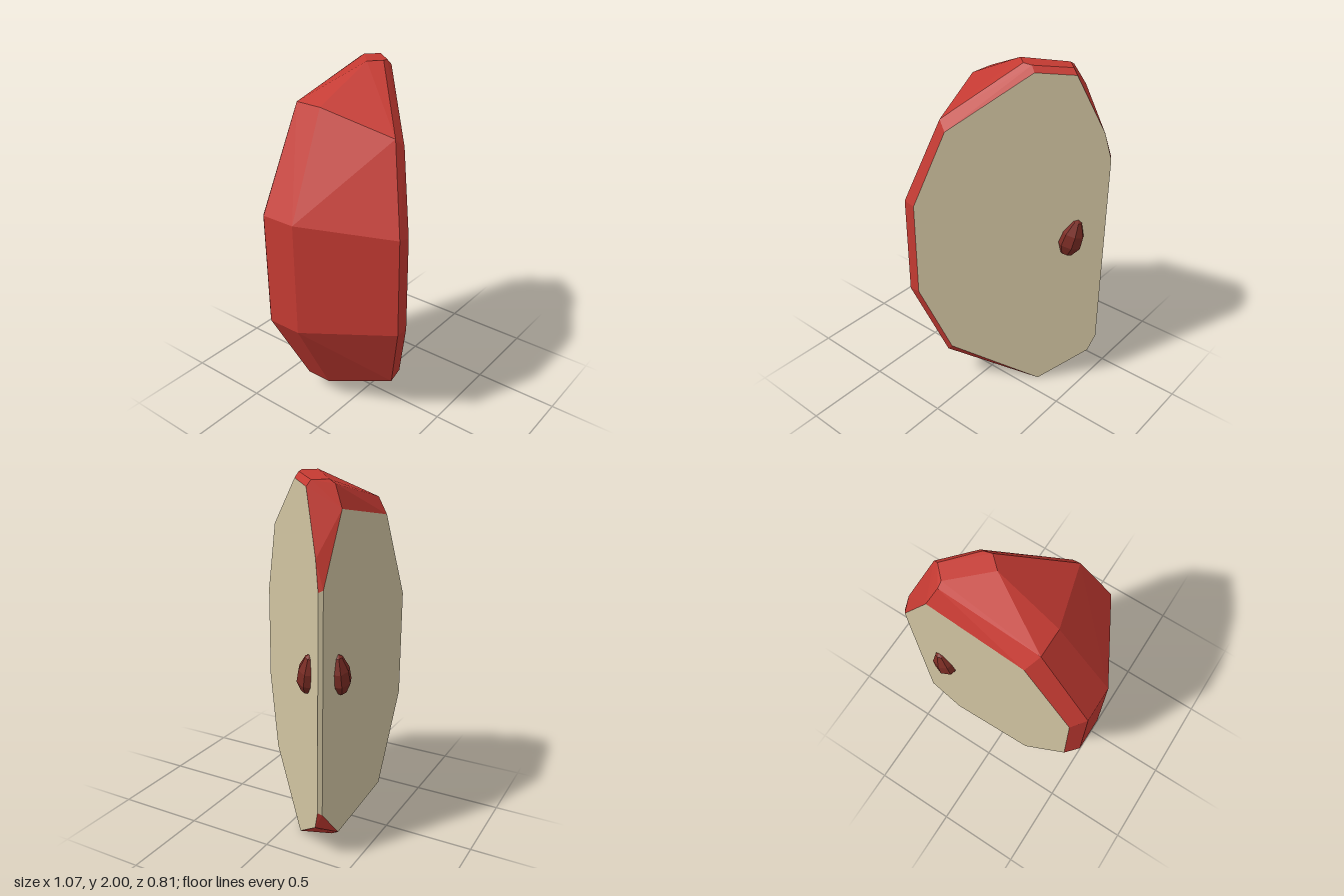
import * as THREE from 'three';
import { ConvexGeometry } from 'three/addons/geometries/ConvexGeometry.js';

const CUT = 0.195;   // slanted cut lies on x + z = CUT
const BACK = -0.355; // rear cut lies on z = BACK

// Keep the hull triangles whose faces pass a test.
function pickFaces(hull, test) {
  const p = hull.attributes.position;
  const out = [];
  const tri = new THREE.Triangle();
  const n = new THREE.Vector3();
  const c = new THREE.Vector3();
  for (let i = 0; i < p.count; i += 3) {
    tri.a.fromBufferAttribute(p, i);
    tri.b.fromBufferAttribute(p, i + 1);
    tri.c.fromBufferAttribute(p, i + 2);
    tri.getNormal(n);
    tri.getMidpoint(c);
    if (test(n, c)) for (const v of [tri.a, tri.b, tri.c]) out.push(v.x, v.y, v.z);
  }
  const g = new THREE.BufferGeometry();
  g.setAttribute('position', new THREE.Float32BufferAttribute(out, 3));
  g.computeVertexNormals();
  return g;
}

export function createModel() {
  const model = new THREE.Group();
  model.name = 'fruitWedge';
  const skinMat = new THREE.MeshStandardMaterial({ color: 0xc43a32, flatShading: true });
  skinMat.name = 'red skin';
  const fleshMat = new THREE.MeshStandardMaterial({ color: 0xd2c5a2, flatShading: true });
  fleshMat.name = 'cream flesh';
  const seedMat = new THREE.MeshStandardMaterial({ color: 0x7a2c24, flatShading: true });
  seedMat.name = 'brown seed';

  const add = (name, geometry, material) => {
    const m = new THREE.Mesh(geometry, material);
    m.name = name;
    model.add(m);
    return m;
  };

  // Outline of the slanted cut (x, y)
  const frontCut = [
    [-0.205, 1.25], [-0.08, 1.67], [0.235, 1.965], [0.385, 1.945], [0.5, 1.63], [0.53, 1.48],
    [0.53, 0.31], [0.5, 0.2], [0.29, 0], [-0.08, 0.29], [-0.205, 0.7],
  ].map(([x, y]) => new THREE.Vector3(x, y, CUT - x));

  // Outline of the rear cut (x, y)
  const backCut = [
    [0.515, 1.49], [0.33, 1.845], [-0.2, 1.75], [-0.47, 1.256],
    [-0.47, 0.64], [-0.2, 0.147], [0.33, 0.095], [0.515, 0.295],
  ].map(([x, y]) => new THREE.Vector3(x, y, BACK));

  // Corners of the faceted skin between the two cuts
  const skinPoints = [
    [-0.535, 1.3, -0.285], [-0.535, 1.3, -0.085], [-0.275, 1.26, 0.395],
    [-0.535, 0.65, -0.285], [-0.535, 0.65, -0.085], [-0.275, 0.69, 0.395],
    [-0.245, 1.835, -0.285], [-0.245, 1.835, -0.13], [-0.13, 1.72, 0.255],
    [-0.245, 0.115, -0.285], [-0.245, 0.115, -0.13], [-0.13, 0.23, 0.255],
    [0.1, 2, -0.1], [0.165, 2, -0.04], [0.21, 1.995, -0.05],
    [0.29, 1.955, -0.297], [0.29, 1.975, -0.265], [0.355, 1.975, -0.2],
    [0.29, 0.045, -0.295],
  ].map((a) => new THREE.Vector3(...a));

  const hull = new ConvexGeometry([...frontCut, ...backCut, ...skinPoints]);
  const isFlesh = (n, c) =>
    (Math.abs(c.x + c.z - CUT) < 1e-3 && n.x + n.z > 1.41) ||
    (Math.abs(c.z - BACK) < 1e-3 && n.z < -0.99) ||
    (c.x > 0.515 && Math.abs(n.y) < 0.3);
  add('skin', pickFaces(hull, (n, c) => !isFlesh(n, c)), skinMat);
  add('flesh', pickFaces(hull, isFlesh), fleshMat);

  // Pointed seeds, half sunk into each cut
  const profile = [[0, -0.108], [0.036, -0.103], [0.07, -0.045], [0.064, 0.025], [0.026, 0.1], [0, 0.114]]
    .map(([r, y]) => new THREE.Vector2(r, y));
  const seedGeo = new THREE.LatheGeometry(profile, 7);
  seedGeo.scale(1, 1, 0.8);
  const addSeed = (name, x, z, turn, tilt) => {
    const s = add(name, seedGeo, seedMat);
    s.position.set(x, 1.015, z);
    s.rotation.set(0, turn, tilt);
  };
  addSeed('frontSeed', 0.402, CUT - 0.402, Math.PI / 4, -0.27);
  addSeed('backSeed', 0.333, BACK, Math.PI, 0.2);

  return model;
}
